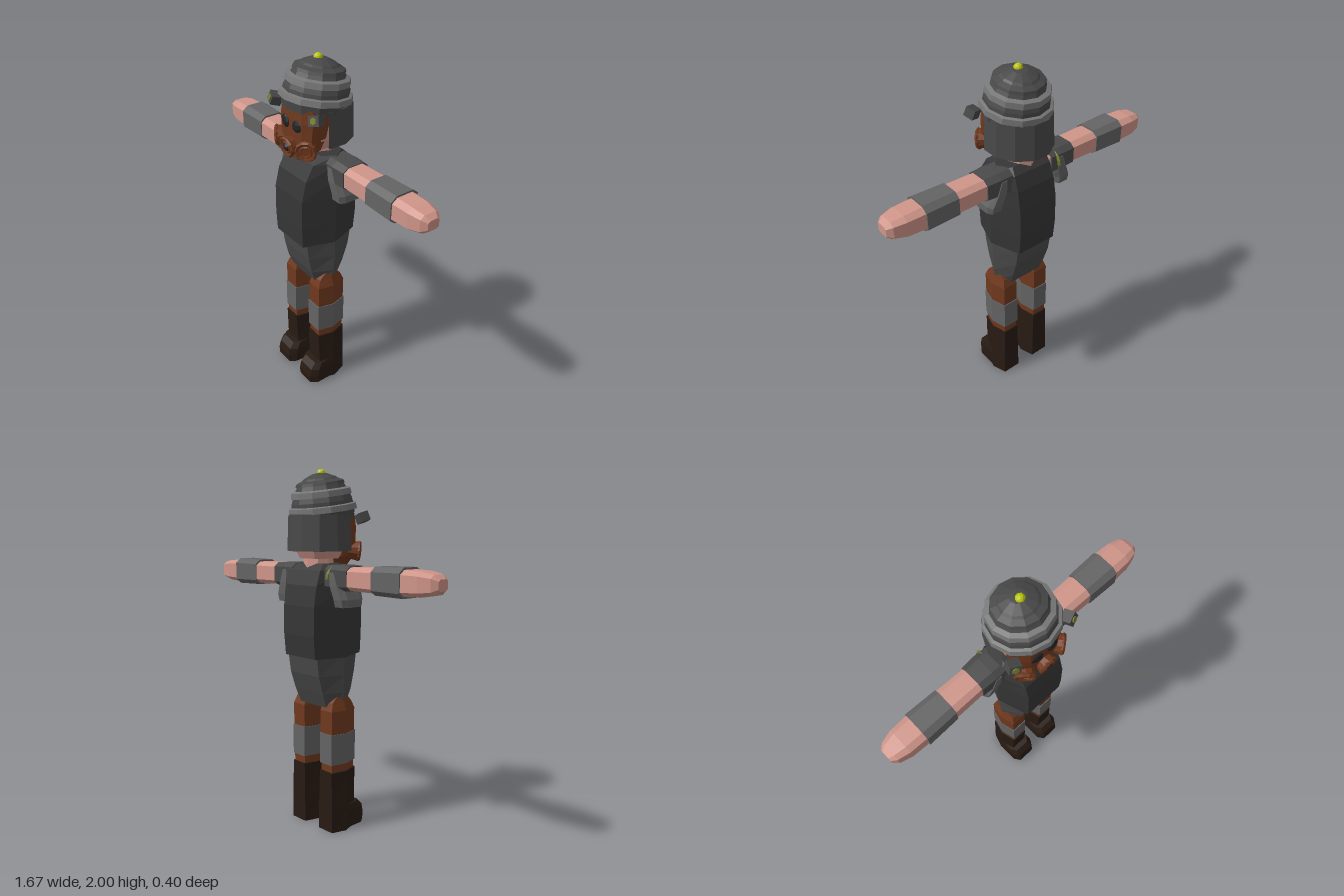
import * as THREE from 'three';

const paint = (color) =>
  new THREE.MeshStandardMaterial({ color, flatShading: true, side: THREE.DoubleSide });

// Cross-sections in (x, z), counter-clockwise from above
const HEX = [[1, 0], [0.67, -1], [-0.67, -1], [-1, 0], [-0.67, 1], [0.67, 1]];
const OCT = [[1, 0.6], [1, -0.6], [0.65, -1], [-0.65, -1], [-1, -0.6], [-1, 0.6], [-0.65, 1], [0.65, 1]];

// Capped loft; each station is [y, centreX, centreZ, halfWidth, halfDepth]
function loft(section, stations) {
  const n = section.length, pos = [], idx = [];
  for (const [y, cx, cz, w, d] of stations)
    for (const [u, v] of section) pos.push(cx + u * w, y, cz + v * d);
  const last = (stations.length - 1) * n;
  for (let i = 0; i < last; i += n)
    for (let j = 0; j < n; j++) {
      const k = (j + 1) % n;
      idx.push(i + j, i + k, i + n + k, i + j, i + n + k, i + n + j);
    }
  for (let j = 1; j < n - 1; j++) idx.push(0, j + 1, j, last, last + j, last + j + 1);
  const g = new THREE.BufferGeometry();
  g.setAttribute('position', new THREE.Float32BufferAttribute(pos, 3));
  g.setIndex(idx);
  g.computeVertexNormals();
  return g;
}

export function createModel() {
  const model = new THREE.Group();
  model.name = 'soldier';
  const body = new THREE.Group();
  body.name = 'body';
  body.position.x = 0.01;
  model.add(body);

  const vestMat = paint(0x363636), trunkMat = paint(0x4a4a4a), bandMat = paint(0x646464);
  const helmetMat = paint(0x484848), ringMat = paint(0x787878), leather = paint(0x70391e);
  const skin = paint(0xcf9589), bootMat = paint(0x281b13), dark = paint(0x222426);
  const yellow = paint(0xb9c60a), olive = paint(0x77802a);

  const add = (parent, name, geo, mat, x = 0, y = 0, z = 0) => {
    const m = new THREE.Mesh(geo, mat);
    m.name = name;
    m.position.set(x, y, z);
    parent.add(m);
    return m;
  };

  // Torso
  add(body, 'vest', loft(HEX, [
    [1.0, 0, 0.005, 0.178, 0.172], [1.12, 0, 0.003, 0.18, 0.18], [1.28, 0, 0.003, 0.18, 0.178],
    [1.39, 0, 0, 0.178, 0.155], [1.47, 0, -0.01, 0.172, 0.115], [1.505, 0, -0.02, 0.15, 0.07]]), vestMat);
  add(body, 'trunk', loft(HEX, [
    [0.715, 0, 0.005, 0.155, 0.075], [0.8, 0, 0.005, 0.168, 0.108],
    [0.9, 0, 0, 0.172, 0.135], [1.02, 0, 0, 0.174, 0.152]]), trunkMat);

  // Legs and boots
  for (const s of [-1, 1]) {
    const leg = new THREE.Group();
    leg.name = s > 0 ? 'leftLeg' : 'rightLeg';
    leg.position.x = s * 0.112;
    body.add(leg);
    add(leg, 'trousers', loft(HEX, [
      [0.3, 0, 0.01, 0.064, 0.083], [0.6, 0, 0.01, 0.068, 0.087], [0.7, 0, 0.01, 0.067, 0.088],
      [0.745, -s * 0.003, 0.01, 0.055, 0.07], [0.785, s * 0.02, 0.01, 0.02, 0.03]]), leather);
    add(leg, 'kneeGuard', loft(HEX, [
      [0.395, 0, 0.01, 0.07, 0.092], [0.57, 0, 0.01, 0.071, 0.092]]), bandMat);
    add(leg, 'bootShaft', loft(HEX, [
      [0.0, 0, 0.0, 0.081, 0.084], [0.14, 0, 0.005, 0.078, 0.088], [0.35, 0, 0.01, 0.071, 0.091]]), bootMat);
    add(leg, 'bootFoot', loft(OCT, [
      [0.012, 0, 0.065, 0.08, 0.1], [0.06, 0, 0.065, 0.081, 0.103],
      [0.11, 0, 0.06, 0.079, 0.097], [0.145, 0, 0.04, 0.07, 0.085]]), bootMat);
  }

  // Arms: lofted upright, then laid sideways
  for (const s of [-1, 1]) {
    const arm = new THREE.Group();
    arm.name = s > 0 ? 'leftArm' : 'rightArm';
    arm.position.set(0, 1.435, -0.037);
    model.add(arm);
    const limb = (name, mat, stations) =>
      add(arm, name, loft(OCT, stations.map(([x, h, d]) => [x, 0, 0, h, d])).rotateZ(-s * Math.PI / 2), mat);
    limb('forearmAndHand', skin, [[0.12, 0.058, 0.07], [0.3, 0.06, 0.072], [0.64, 0.064, 0.077],
      [0.74, 0.06, 0.074], [0.805, 0.048, 0.058], [0.833, 0.028, 0.035]]);
    limb('wristBand', bandMat, [[0.455, 0.071, 0.079], [0.64, 0.074, 0.084]]);
    limb('sleeve', trunkMat, [[0.13, 0.066, 0.08], [0.2, 0.068, 0.083], [0.285, 0.064, 0.078]]);
    add(arm, 'shoulderFlap', loft(OCT, [
      [-0.15, s * 0.225, 0.002, 0.045, 0.07], [-0.11, s * 0.225, 0, 0.045, 0.078],
      [-0.04, s * 0.2, 0, 0.04, 0.086], [0.03, s * 0.185, 0, 0.025, 0.086]]), bandMat);
  }
  const strap = add(body, 'shoulderCord', new THREE.TorusGeometry(0.06, 0.009, 5, 8, Math.PI), olive, -0.175, 1.43, -0.075);
  strap.rotation.y = Math.PI / 2;

  // Head and neck
  add(body, 'neck', new THREE.CylinderGeometry(0.075, 0.085, 0.16, 8), skin, 0, 1.53, -0.03);
  add(body, 'head', loft(OCT, [
    [1.53, 0, -0.02, 0.09, 0.09], [1.6, 0, -0.015, 0.125, 0.13], [1.78, 0, -0.01, 0.135, 0.14]]), skin);
  add(body, 'mask', loft(OCT, [
    [1.49, 0, 0.1, 0.06, 0.05], [1.54, 0, 0.09, 0.105, 0.065],
    [1.62, 0, 0.08, 0.13, 0.075], [1.7, 0, 0.07, 0.135, 0.085], [1.77, 0, 0.06, 0.13, 0.09]]), leather);

  // Mask fittings
  const filter = (name, x, y, z, dir, r) => {
    const g = new THREE.Group();
    g.name = name;
    g.position.set(x, y, z);
    g.quaternion.setFromUnitVectors(new THREE.Vector3(0, 0, 1), new THREE.Vector3(...dir).normalize());
    body.add(g);
    add(g, 'canister', new THREE.CylinderGeometry(r, r * 0.75, 0.07, 10).rotateX(Math.PI / 2), leather);
    add(g, 'rim', new THREE.TorusGeometry(r * 0.88, r * 0.2, 5, 10), leather, 0, 0, 0.035);
    add(g, 'innerRim', new THREE.TorusGeometry(r * 0.5, r * 0.12, 5, 10), leather, 0, 0, 0.036);
    return g;
  };
  for (const s of [-1, 1]) {
    filter('sideFilter', s * 0.1, 1.57, 0.13, [s * 0.65, -0.1, 0.75], 0.054);
    const eye = add(body, 'eyepiece', new THREE.SphereGeometry(1, 8, 5), dark, s * 0.052, 1.675, 0.152);
    eye.scale.set(0.04, 0.034, 0.016);
    eye.rotation.set(0, s * 0.2, s * 0.25);
  }
  const nose = filter('mouthFilter', 0, 1.56, 0.15, [0, -0.15, 1], 0.054);
  add(nose, 'valve', new THREE.CylinderGeometry(0.012, 0.04, 0.025, 6).rotateX(Math.PI / 2), dark, 0, 0, 0.035);

  // Helmet, leaning back slightly
  const helmet = new THREE.Group();
  helmet.name = 'helmet';
  helmet.position.set(0, 1.78, 0.005);
  helmet.rotation.x = -0.15;
  body.add(helmet);
  const lathe = (pts, n) => new THREE.LatheGeometry(pts.map(([r, y]) => new THREE.Vector2(r, y)), n);
  add(helmet, 'dome', lathe([[0.166, -0.05], [0.176, 0], [0.168, 0.055], [0.15, 0.1],
    [0.125, 0.145], [0.09, 0.175], [0.04, 0.197], [0, 0.202]], 12), helmetMat);
  for (const [y, r] of [[0.015, 0.19], [0.095, 0.168]])
    add(helmet, 'helmetRing', lathe([[r - 0.03, y - 0.012], [r, y - 0.014], [r - 0.004, y + 0.016], [r - 0.03, y + 0.024]], 12), ringMat);
  add(helmet, 'crestRing', lathe([[0.115, 0.142], [0.136, 0.139], [0.13, 0.154], [0.1, 0.166]], 12), helmetMat);
  add(helmet, 'crownKnob', new THREE.IcosahedronGeometry(0.024, 1), yellow, 0, 0.197, 0.015);

  // Neck guard wrapping the sides and back
  const guard = lathe([[0.168, 1.575], [0.195, 1.57], [0.188, 1.76], [0.162, 1.76]], 8);
  const wrap = new THREE.LatheGeometry(guard.parameters.points, 7, Math.PI * 0.41, Math.PI * 1.18);
  add(body, 'neckGuard', wrap, helmetMat, 0, 0, -0.005).scale.x = 0.92;

  // Helmet side lamps
  for (const s of [-1, 1]) {
    const lamp = new THREE.Group();
    lamp.name = 'helmetLamp';
    lamp.position.set(s * 0.175, 1.745, 0.13);
    lamp.rotation.set(-0.3, s * 0.3, s * 0.35);
    body.add(lamp);
    add(lamp, 'lampCase', new THREE.BoxGeometry(0.06, 0.05, 0.055), helmetMat);
    add(lamp, 'lampLens', new THREE.CylinderGeometry(0.018, 0.018, 0.01, 6).rotateX(Math.PI / 2), olive, 0, 0, 0.028);
  }
  return model;
}
